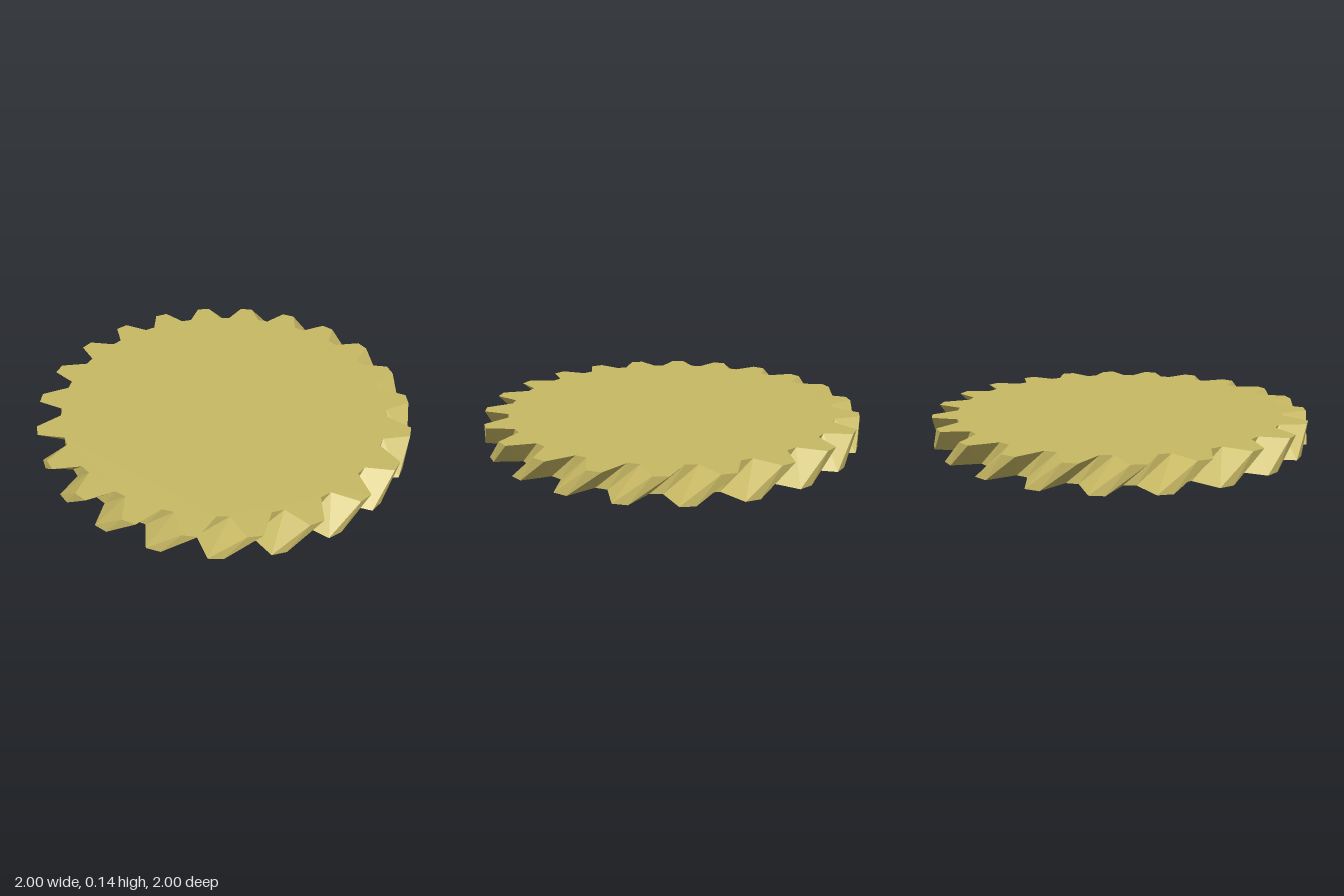
import * as THREE from 'three';

const TEETH = 22;
const HEIGHT = 0.137;
const TIP_RADIUS = 1.0;
const ROOT_RADIUS = 0.875;
const TWIST = THREE.MathUtils.degToRad(10);

// Outline of the toothed wheel: each tooth is a trapezoid with a narrow tip
function gearShape() {
  const points = [];
  const profile = [[-6.25, ROOT_RADIUS], [-2.05, TIP_RADIUS], [2.05, TIP_RADIUS], [6.25, ROOT_RADIUS]];
  for (let i = 0; i < TEETH; i++) {
    const centre = 6 + (i * 360) / TEETH;
    for (const [offset, radius] of profile) {
      const a = THREE.MathUtils.degToRad(centre + offset);
      points.push(new THREE.Vector2(Math.cos(a) * radius, Math.sin(a) * radius));
    }
  }
  return new THREE.Shape(points);
}

export function createModel() {
  const brass = new THREE.MeshStandardMaterial({ color: 0xc8b964 });
  brass.name = 'brass';
  brass.flatShading = true;

  const geometry = new THREE.ExtrudeGeometry(gearShape(), { depth: HEIGHT, bevelEnabled: false, steps: 1 });
  geometry.rotateX(-Math.PI / 2);

  // Slant the teeth by turning the lower face against the upper one
  const position = geometry.attributes.position;
  const axis = new THREE.Vector3(0, 1, 0);
  const v = new THREE.Vector3();
  for (let i = 0; i < position.count; i++) {
    v.fromBufferAttribute(position, i);
    v.applyAxisAngle(axis, -TWIST * (1 - v.y / HEIGHT));
    position.setXYZ(i, v.x, v.y, v.z);
  }
  geometry.computeVertexNormals();

  const gear = new THREE.Mesh(geometry, brass);
  gear.name = 'helicalGear';
  const group = new THREE.Group();
  group.name = 'gearWheel';
  group.add(gear);
  return group;
}
